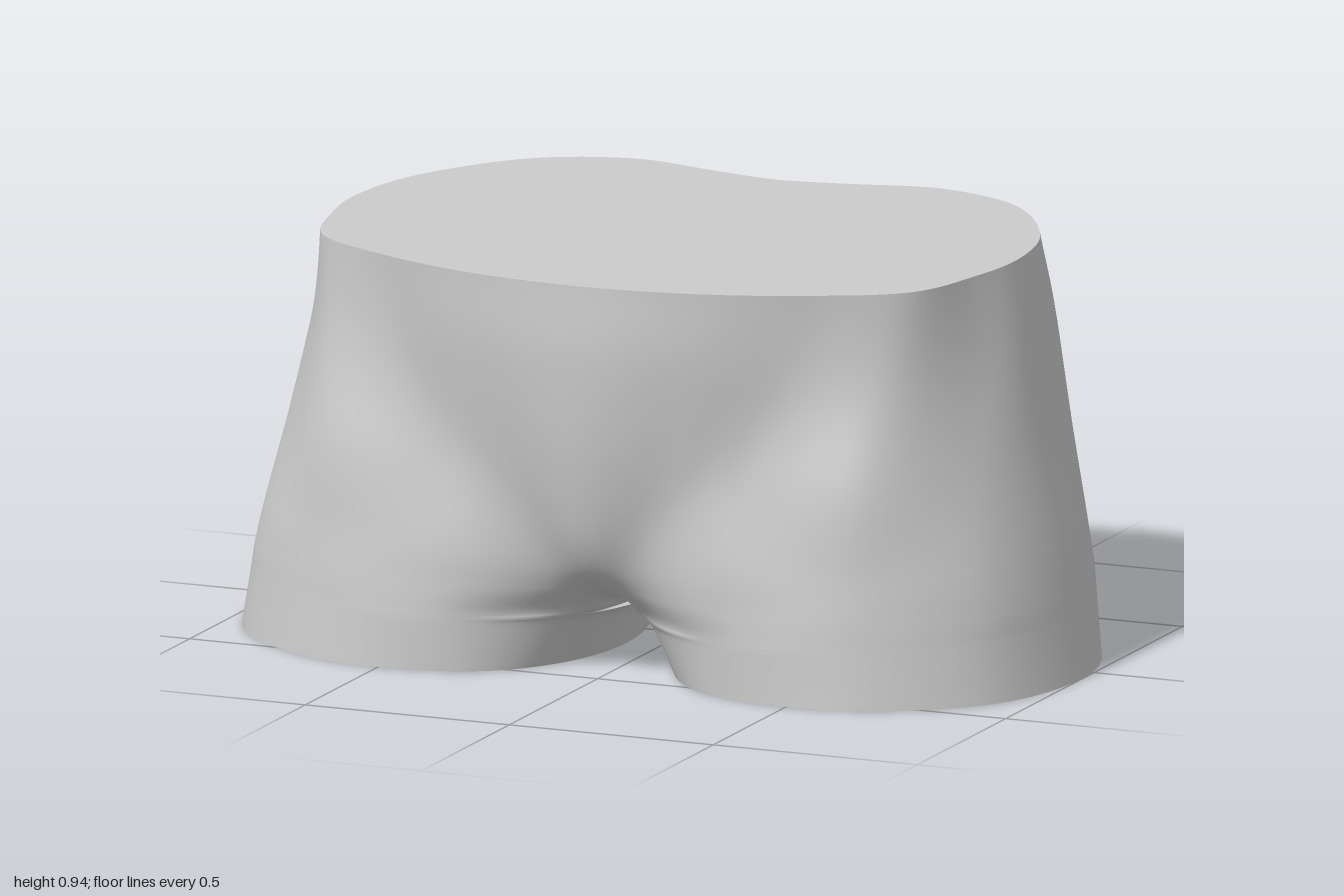
import * as THREE from 'three';
import { mergeVertices } from 'three/addons/utils/BufferGeometryUtils.js';

// Half outlines at key heights: x, z pairs from the front seam round the side to the back seam
const slices = [
  { y: 0.935, p: [0, .632, .28, .6, .52, .515, .72, .39, .79, .18, .81, -.02, .76, -.25, .6, -.49, .38, -.585, .16, -.545, 0, -.52] },
  { y: 0.75, p: [0, .637, .25, .6, .46, .53, .7, .43, .82, .2, .85, 0, .79, -.27, .62, -.53, .36, -.632, .14, -.585, 0, -.56] },
  { y: 0.5, p: [0, .615, .2, .575, .36, .55, .66, .515, .84, .3, .9, .04, .84, -.25, .64, -.51, .37, -.615, .13, -.53, 0, -.47] },
  { y: 0.3, p: [0, .565, .13, .545, .34, .575, .65, .54, .87, .36, .945, .06, .88, -.24, .68, -.46, .4, -.55, .13, -.44, 0, -.33] },
  { y: 0.2, p: [0, .47, .1, .5, .32, .575, .64, .555, .89, .37, .965, .06, .9, -.23, .7, -.42, .43, -.507, .14, -.35, 0, -.17] },
];
const hem = { y: 0, p: [.085, .08, .13, .37, .31, .555, .63, .575, .91, .39, 1, .08, .93, -.2, .74, -.37, .48, -.455, .2, -.25, .085, .08] };

// Crotch outlines: outer thigh blended, inner points given
function blend(y, inner) {
  const top = slices[4], t = 1 - y / top.y;
  const p = top.p.map((v, i) => v + (hem.p[i] - v) * t);
  inner.forEach((v, i) => { p[i < 4 ? i : 14 + i] = v; });
  return { y, p };
}
const CROTCH = 5 + 1; // index of the slice where the two seams meet
const keys = [
  ...slices,
  blend(0.14, [0, .28, .07, .42, .14, -.26, 0, -.02]),
  blend(0.122, [0, .1, .075, .4, .14, -.23, 0, .1]),
  blend(0.1, [.055, .09, .09, .39, .15, -.22, .055, .09]),
  hem,
];
const STEPS = 10, AROUND = 100, ROWS = (keys.length - 1) * STEPS;

// Each column is a spline through the key outlines
const columns = Array.from({ length: 11 }, (_, c) => new THREE.CatmullRomCurve3(
  keys.map(k => new THREE.Vector3(k.p[2 * c], k.y, k.p[2 * c + 1])), false, 'catmullrom', 0.5));

// One row of the left half: mirrored loop above the crotch, closed thigh loop below
function row(i) {
  const pts = columns.map(c => c.getPoint(i / ROWS));
  const joined = i < CROTCH * STEPS;
  let loop = pts.slice(0, 10);
  if (joined) {
    pts[0].x = pts[10].x = 0;
    const mirrored = pts.slice(1, 10).reverse().map(p => new THREE.Vector3(-p.x, p.y, p.z));
    loop = [...pts, ...mirrored];
  }
  const curve = new THREE.CatmullRomCurve3(loop, true, 'catmullrom', 0.5);
  return Array.from({ length: AROUND + 1 }, (_, j) => {
    const p = curve.getPoint((j / AROUND) * (joined ? 0.5 : 1));
    p.x = Math.max(0, p.x);
    return p;
  });
}

function skin(rows) {
  const pos = [], index = [], W = AROUND + 1;
  for (const side of [1, -1]) {
    const base = pos.length / 3;
    for (const r of rows) for (const p of r) pos.push(side * p.x, p.y, p.z);
    for (let i = 0; i < ROWS; i++) for (let j = 0; j < AROUND; j++) {
      const a = base + i * W + j, b = a + W, c = a + 1, d = b + 1;
      if (side > 0) index.push(a, b, d, a, d, c);
      else index.push(a, d, b, a, c, d);
    }
  }
  const g = new THREE.BufferGeometry();
  g.setAttribute('position', new THREE.Float32BufferAttribute(pos, 3));
  g.setIndex(index);
  const merged = mergeVertices(g, 1e-4);
  merged.computeVertexNormals();
  return merged;
}

// Flat end facing up (dir 1) or down (dir -1)
function cap(points, dir) {
  const shape = new THREE.Shape(points.map(p => new THREE.Vector2(p.x, -dir * p.z)));
  return new THREE.ShapeGeometry(shape).rotateX(-dir * Math.PI / 2).translate(0, points[0].y, 0);
}

export function createModel() {
  const group = new THREE.Group();
  group.name = 'hips';
  const material = new THREE.MeshStandardMaterial({ color: 0xcccccc });
  const add = (name, geometry) => {
    const mesh = new THREE.Mesh(geometry, material);
    mesh.name = name;
    group.add(mesh);
  };
  const flip = pts => pts.map(p => new THREE.Vector3(-p.x, p.y, p.z)).reverse();
  const rows = Array.from({ length: ROWS + 1 }, (_, i) => row(i));

  add('hipsAndThighs', skin(rows));
  add('waistCap', cap([...rows[0], ...flip(rows[0]).slice(1, -1)], 1));
  const thigh = rows[ROWS].slice(0, -1);
  add('leftThighCap', cap(thigh, -1));
  add('rightThighCap', cap(flip(thigh), -1));
  return group;
}
